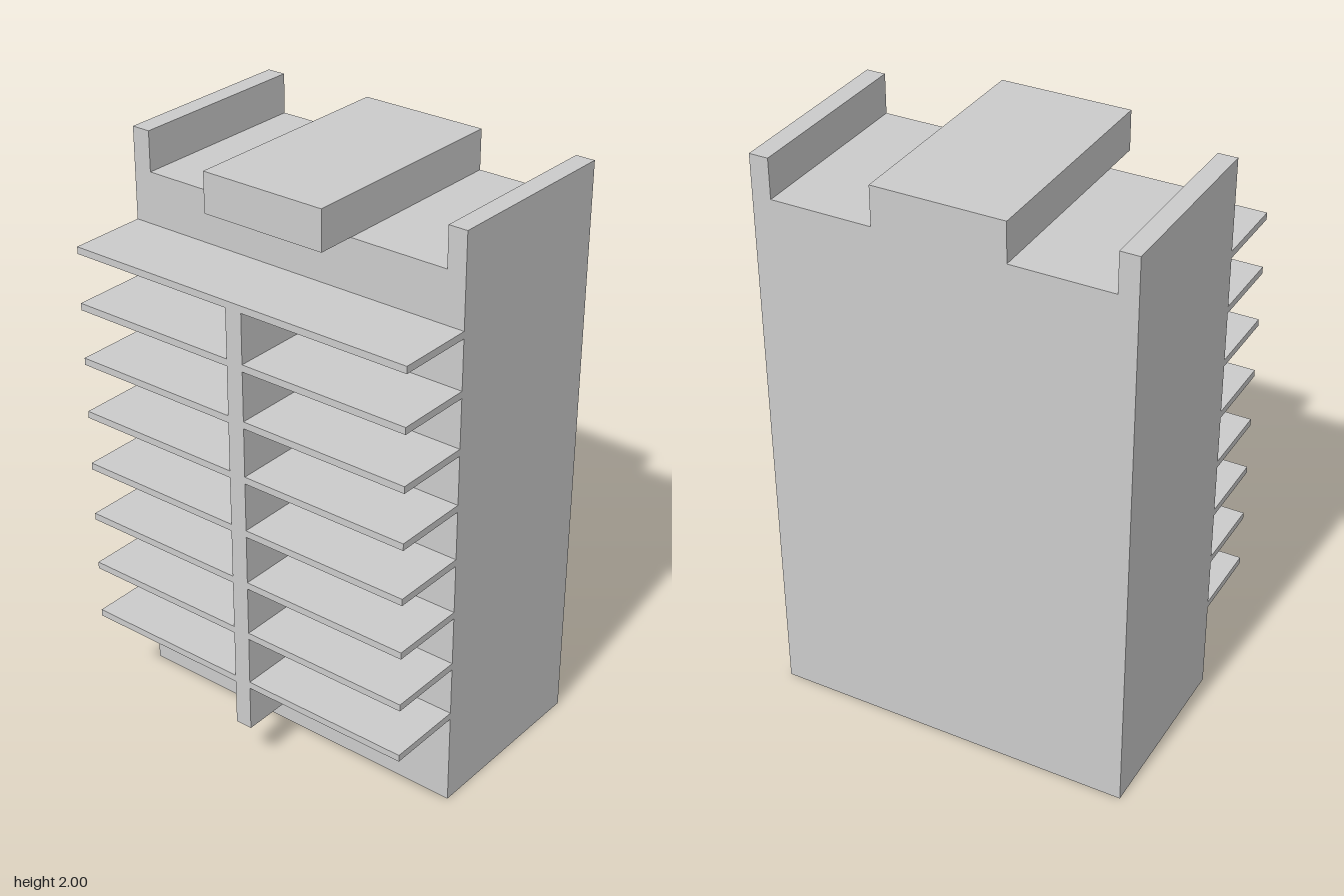
import * as THREE from 'three';

const material = new THREE.MeshStandardMaterial({ color: 0xcccccc, flatShading: true });

const HALF_W = 0.63, BACK = -0.46, FACE = 0.19, FRONT = 0.46;
const TOP = 2, FLOOR = 1.865; // top of the rails, floor of the top channels
const RAIL_IN = 0.565, BLOCK = 0.222;

function add(parent, name, geometry) {
  const mesh = new THREE.Mesh(geometry, material);
  mesh.name = name;
  parent.add(mesh);
  return mesh;
}

// Box given by its minimum and maximum corners
function box(parent, name, [x0, y0, z0], [x1, y1, z1]) {
  const mesh = add(parent, name, new THREE.BoxGeometry(x1 - x0, y1 - y0, z1 - z0));
  mesh.position.set((x0 + x1) / 2, (y0 + y1) / 2, (z0 + z1) / 2);
  return mesh;
}

export function createModel() {
  const model = new THREE.Group();
  model.name = 'finnedHousing';

  // Body: front outline with two channels between the side rails and the centre block
  const half = [[HALF_W, 0], [HALF_W, TOP], [RAIL_IN, TOP], [RAIL_IN, FLOOR], [BLOCK, FLOOR], [BLOCK, TOP]];
  const mirrored = half.map(([x, y]) => [-x, y]).reverse();
  const outline = new THREE.Shape([...half, ...mirrored].map(([x, y]) => new THREE.Vector2(x, y)));
  const bodyGeometry = new THREE.ExtrudeGeometry(outline, { depth: FACE - BACK, bevelEnabled: false });
  bodyGeometry.translate(0, 0, BACK);
  add(model, 'body', bodyGeometry);

  // Centre block overhanging the front face
  box(model, 'blockOverhang', [-BLOCK, FLOOR, FACE], [BLOCK, TOP, 0.325]);

  // Vertical rib carrying the fins
  const finTop = 1.69, finThickness = 0.024, finPitch = 0.1922;
  box(model, 'centreRib', [-0.03, 0.16, FACE], [0.03, finTop - finThickness, FRONT]);

  // Eight horizontal cooling fins; the top one caps the rib, the rest run out from its sides
  const fins = new THREE.Group();
  fins.name = 'coolingFins';
  model.add(fins);
  for (let i = 0; i < 8; i++) {
    const y1 = finTop - i * finPitch, y0 = y1 - finThickness;
    if (i === 0) {
      box(fins, 'topFin', [-HALF_W, y0, FACE], [HALF_W, y1, FRONT]);
    } else {
      box(fins, 'leftFin', [0.03, y0, FACE], [HALF_W, y1, FRONT]);
      box(fins, 'rightFin', [-HALF_W, y0, FACE], [-0.03, y1, FRONT]);
    }
  }

  return model;
}
